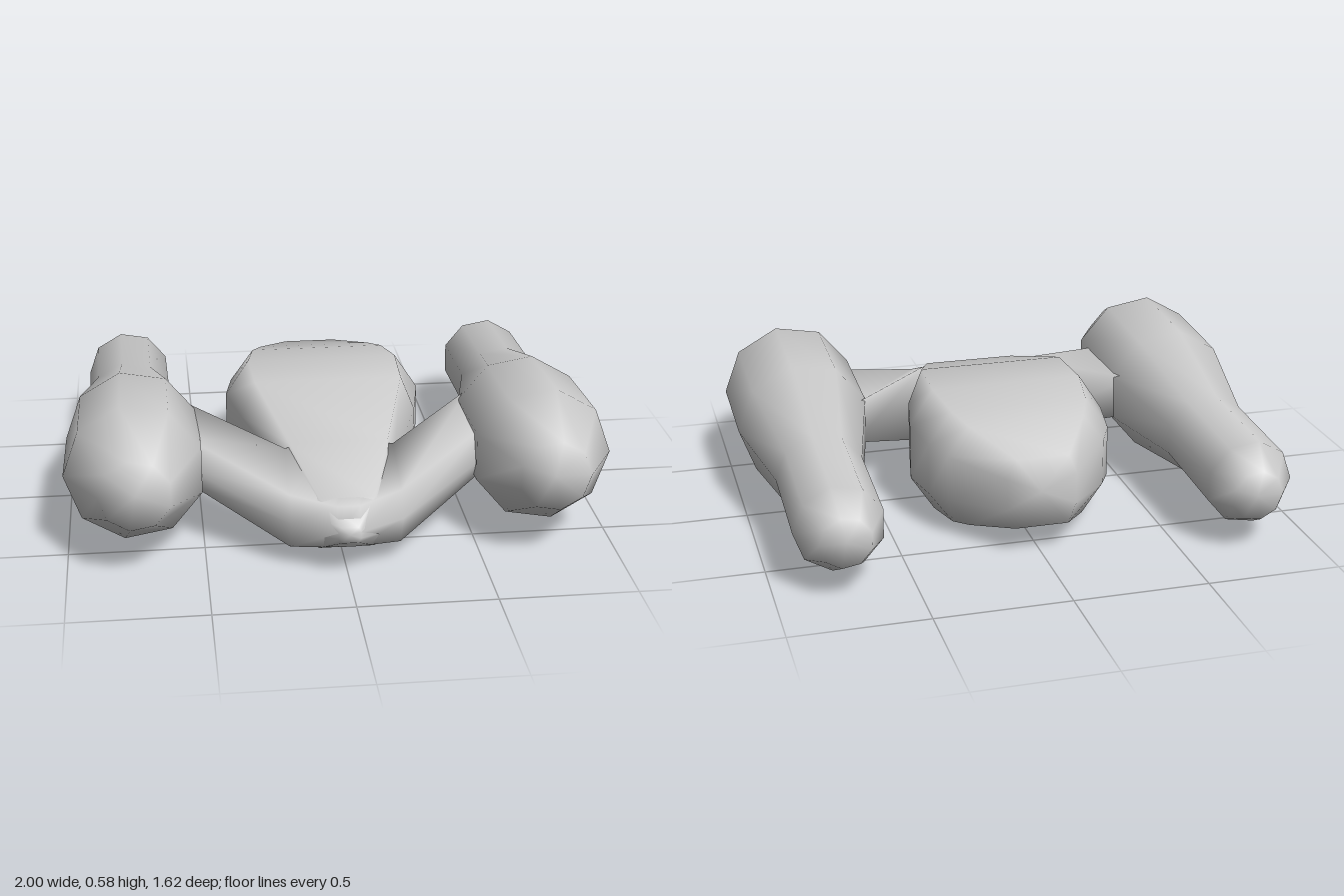
import * as THREE from 'three';

const material = new THREE.MeshStandardMaterial({ color: 0xcccccc });

// Skin a closed, smooth surface over rings of [x, y, z] points.
// Rings run along +axis, points run counter-clockwise seen from +axis.
function loft(name, rings) {
  const n = rings[0].length, last = rings.length - 1;
  const middle = ring => [0, 1, 2].map(k => ring.reduce((sum, p) => sum + p[k], 0) / n);
  const points = [...rings.flat(), middle(rings[0]), middle(rings[last])];
  const startCap = points.length - 2, endCap = points.length - 1;
  const index = [];
  for (let j = 0; j < n; j++) {
    const k = (j + 1) % n;
    for (let i = 0; i < last; i++) {
      const a = i * n + j, b = i * n + k;
      index.push(a, b, a + n, b, b + n, a + n);
    }
    index.push(startCap, k, j, endCap, last * n + j, last * n + k);
  }
  const geometry = new THREE.BufferGeometry();
  geometry.setAttribute('position', new THREE.Float32BufferAttribute(points.flat(), 3));
  geometry.setIndex(index);
  geometry.computeVertexNormals();
  const mesh = new THREE.Mesh(geometry, material);
  mesh.name = name;
  return mesh;
}

// Central hull: eight-sided sections from tail to nose
function hull() {
  // z, half width at the waist, half width of deck and belly, bottom, top
  const stations = [
    [-0.61, 0.13, 0.10, 0.11, 0.38],
    [-0.40, 0.30, 0.22, 0.045, 0.44],
    [-0.30, 0.35, 0.26, 0.02, 0.465],
    [-0.12, 0.38, 0.29, 0, 0.49],
    [0.11, 0.335, 0.28, 0, 0.49],
    [0.46, 0.205, 0.18, 0.025, 0.385],
    [0.72, 0.15, 0.10, 0.09, 0.285],
    [0.81, 0.04, 0.03, 0.15, 0.21],
  ];
  return loft('hull', stations.map(([z, w, d, low, high]) => {
    const inset = 0.28 * (high - low);
    const right = [[d, low], [w, low + inset], [w, high - inset], [d, high]];
    const left = right.map(([x, y]) => [-x, y]).reverse();
    return [...right, ...left].map(([x, y]) => [x, y, z]);
  }));
}

// Swept wing: one piece from engine to engine, bent forward at the nose
function wing() {
  // x, then [y, z] of rear top, front top, leading edge, front bottom, rear bottom
  const half = [
    [0.04, [0.38, 0.46], [0.27, 0.76], [0.19, 0.81], [0.11, 0.76], [0.04, 0.46]],
    [0.20, [0.37, 0.46], [0.285, 0.68], [0.20, 0.74], [0.08, 0.68], [0.05, 0.46]],
    [0.56, [0.40, 0.04], [0.41, 0.41], [0.31, 0.46], [0.23, 0.41], [0.24, 0.04]],
  ];
  const side = s => half.map(([x, ...section]) => section.map(([y, z]) => [s * x, y, z]));
  return loft('wing', [...side(-1).reverse(), ...side(1)]);
}

// Engine pod: nine-sided sections, leaning slightly, from tail to front
function enginePod(name, s) {
  // z, centre x, centre y, radius
  const stations = [
    [-0.81, 0.755, 0.225, 0.097],
    [-0.71, 0.76, 0.238, 0.165],
    [-0.30, 0.755, 0.265, 0.165],
    [0.12, 0.745, 0.30, 0.255],
    [0.515, 0.745, 0.323, 0.257],
    [0.745, 0.745, 0.34, 0.132],
  ];
  return loft(name, stations.map(([z, cx, cy, r]) =>
    Array.from({ length: 9 }, (_, i) => {
      const a = (i / 9) * Math.PI * 2 + (s > 0 ? 0 : Math.PI);
      const dy = r * Math.sin(a);
      return [s * cx + r * Math.cos(a), cy + dy, z - 0.05 * dy];
    })));
}

export function createModel() {
  const model = new THREE.Group();
  model.name = 'spacecraft';
  model.add(hull(), wing(), enginePod('leftEnginePod', 1), enginePod('rightEnginePod', -1));
  return model;
}
